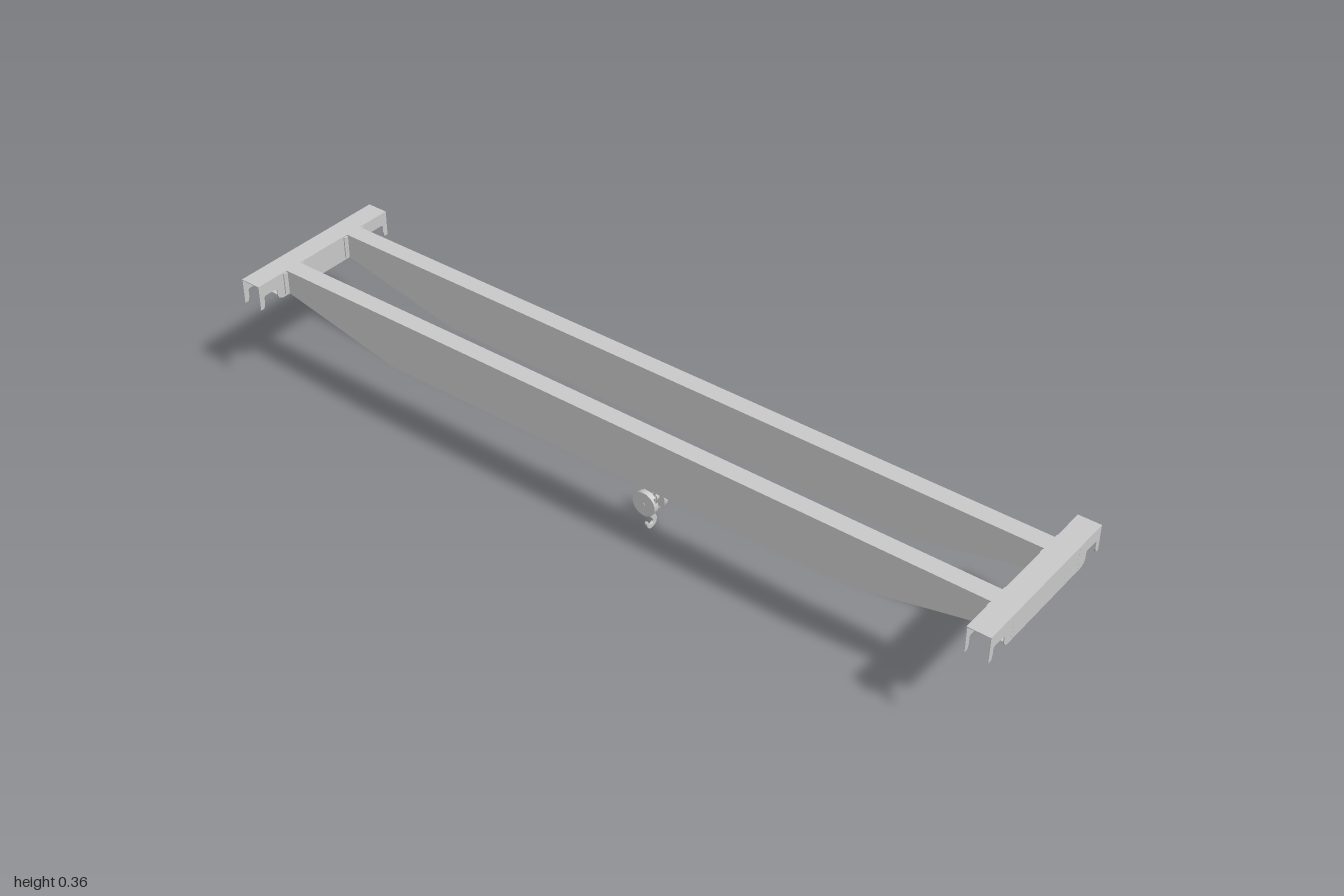
import * as THREE from 'three';

const mat = new THREE.MeshStandardMaterial({ color: 0xcccccc, side: THREE.DoubleSide });
const flat = new THREE.MeshStandardMaterial({ color: 0xcccccc, flatShading: true, side: THREE.DoubleSide });

function add(parent, name, geometry, x = 0, y = 0, z = 0, material = flat) {
  const mesh = new THREE.Mesh(geometry, material);
  mesh.name = name;
  mesh.position.set(x, y, z);
  parent.add(mesh);
  return mesh;
}

// Shape extruded symmetrically about its own plane
function slab(shape, depth, options = {}) {
  const g = new THREE.ExtrudeGeometry(shape, { depth, bevelEnabled: false, curveSegments: 12, ...options });
  return g.translate(0, 0, -depth / 2);
}

// Girder: box section whose underside rises towards both ends
function girderGeometry() {
  const s = new THREE.Shape([
    [-0.943, 0.357], [-0.943, 0.296], [-0.62, 0.225],
    [0.62, 0.225], [0.943, 0.296], [0.943, 0.357],
  ].map(([z, y]) => new THREE.Vector2(z, y)));
  return slab(s, 0.044).rotateY(-Math.PI / 2);
}

// Side plate of an end truck, with a wheel slot and a tapered tab at each end
function trackPlateGeometry() {
  const half = (m) => [
    [0.212, 0.357], [0.212, 0.293], [0.202, 0.293], [0.198, 0.304], [0.198, 0.322], [0.195, 0.325],
    [0.160, 0.325], [0.157, 0.322], [0.157, 0.307], [0.153, 0.298], [0.143, 0.293],
  ].map(([x, y]) => new THREE.Vector2(m * x, y));
  return slab(new THREE.Shape([...half(1), ...half(-1).reverse()]), 0.002);
}

// End truck: channel open at its ends, riveted to both girders
function endTruck(side) {
  const g = new THREE.Group();
  g.name = side > 0 ? 'frontEndTruck' : 'backEndTruck';
  const plate = trackPlateGeometry();
  add(g, 'outerSidePlate', plate, 0, 0, side * 0.996);
  add(g, 'innerSidePlate', plate, 0, 0, side * 0.944);
  add(g, 'topPlate', new THREE.BoxGeometry(0.424, 0.002, 0.054), 0, 0.356, side * 0.97);
  add(g, 'bottomPlate', new THREE.BoxGeometry(0.286, 0.002, 0.054), 0, 0.294, side * 0.97);
  const rivet = new THREE.CylinderGeometry(0.0014, 0.0014, 0.0016, 8).rotateX(Math.PI / 2);
  for (const beam of [-0.1, 0.1]) {
    add(g, 'mountingFlange', new THREE.BoxGeometry(0.068, 0.056, 0.003), beam, 0.326, side * 0.9415);
    for (const dx of [-0.0265, 0.0265])
      for (let i = 0; i < 5; i++)
        for (const z of [0.9972, 0.9395])
          add(g, 'rivet', rivet, beam + dx, 0.302 + i * 0.0122, side * z, mat);
  }
  return g;
}

// Curved strip of the sheave guard between two angles
function guardArc(from, to) {
  const s = new THREE.Shape();
  s.absarc(0, 0, 0.031, from, to, false);
  s.absarc(0, 0, 0.029, to, from, true);
  return slab(s, 0.013, { curveSegments: 24 }).rotateY(Math.PI / 2);
}

// Flat hook with rounded edges
function hookGeometry() {
  const s = new THREE.Shape();
  s.moveTo(-0.0035, 0.056);
  s.lineTo(0.0035, 0.056);
  s.lineTo(0.0035, 0.045);
  s.splineThru([
    [0.008, 0.038], [0.016, 0.029], [0.0185, 0.019], [0.015, 0.008], [0.002, 0.002],
    [-0.010, 0.007], [-0.016, 0.020], [-0.0135, 0.026],
  ].map(([x, y]) => new THREE.Vector2(x, y)));
  s.splineThru([
    [-0.0095, 0.020], [-0.005, 0.014], [0.002, 0.012], [0.007, 0.018], [0.003, 0.027],
    [-0.0035, 0.037], [-0.0035, 0.056],
  ].map(([x, y]) => new THREE.Vector2(x, y)));
  return slab(s, 0.004, {
    bevelEnabled: true, bevelThickness: 0.0015, bevelSize: 0.001, bevelSegments: 2,
  });
}

// Hook block: twin guarded sheaves, hangers, crosshead and hook
function hookBlock() {
  const g = new THREE.Group();
  g.name = 'hookBlock';
  const cyl = (r, len, n = 32) => new THREE.CylinderGeometry(r, r, len, n).rotateZ(Math.PI / 2);
  const low = 0.36, high = 0.74;
  for (const m of [-1, 1]) {
    add(g, 'sheaveCover', cyl(0.031, 0.006), m * 0.0215, 0.082, 0, mat);
    add(g, 'lowerGuard', guardArc(Math.PI - low, Math.PI * 2 + low), m * 0.0175, 0.082, 0, mat);
    add(g, 'upperGuard', guardArc(high, Math.PI - high), m * 0.0175, 0.082, 0, mat);
    add(g, 'sheave', cyl(0.011, 0.009), m * 0.0145, 0.082, 0, mat);
    add(g, 'hanger', new THREE.BoxGeometry(0.002, 0.042, 0.014), m * 0.0105, 0.0735, 0);
    add(g, 'axleEnd', cyl(0.004, 0.002, 12), m * 0.0248, 0.082, 0, mat);
  }
  add(g, 'tieRod', cyl(0.0012, 0.024, 10), 0, 0.094, 0, mat);
  add(g, 'crosshead', new THREE.BoxGeometry(0.022, 0.007, 0.010), 0, 0.057, 0);
  add(g, 'hookNut', new THREE.CylinderGeometry(0.0045, 0.0045, 0.004, 6), 0, 0.0622, 0);
  add(g, 'hookStud', new THREE.CylinderGeometry(0.002, 0.002, 0.004, 10), 0, 0.066, 0, mat);
  add(g, 'hook', hookGeometry());
  g.position.z = 0.03;
  return g;
}

export function createModel() {
  const model = new THREE.Group();
  model.name = 'bridgeCrane';

  // Bridge stands slightly askew on its runway
  const bridge = new THREE.Group();
  bridge.name = 'bridge';
  bridge.rotation.y = 0.0145;
  const girder = girderGeometry();
  add(bridge, 'leftGirder', girder, 0.1);
  add(bridge, 'rightGirder', girder, -0.1);
  bridge.add(endTruck(1), endTruck(-1));

  model.add(bridge, hookBlock());
  return model;
}
